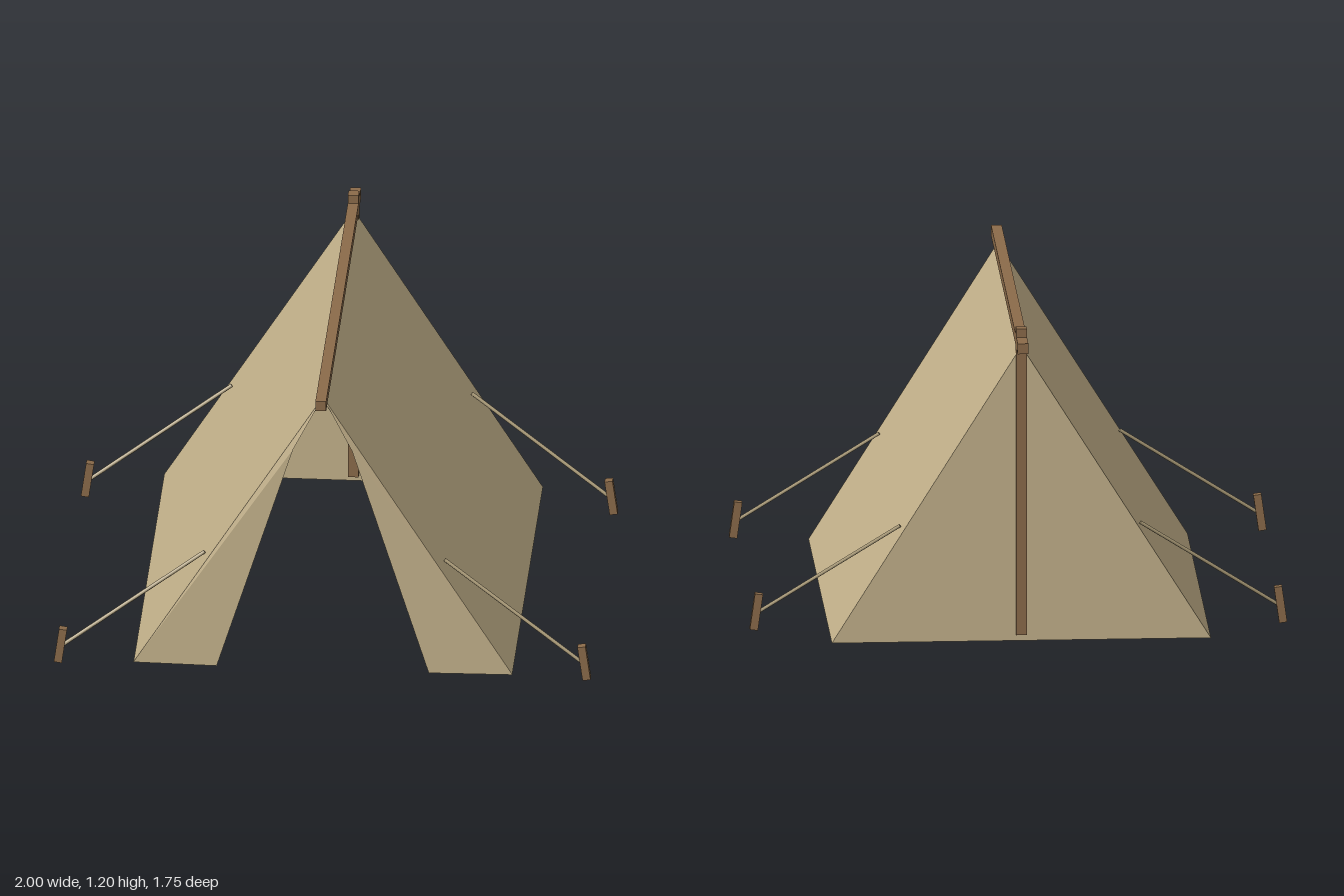
import * as THREE from 'three';

const material = (name, color, side = THREE.FrontSide) => {
  const m = new THREE.MeshStandardMaterial({ color, side });
  m.name = name;
  return m;
};

export function createModel() {
  const tent = new THREE.Group();
  tent.name = 'tent';
  const canvas = material('canvas', 0xc4b28b, THREE.DoubleSide);
  const wood = material('wood', 0x8b6b4a);
  const rope = material('rope', 0xae9e7a);

  const add = (name, geometry, mat) => {
    const mesh = new THREE.Mesh(geometry, mat);
    mesh.name = name;
    tent.add(mesh);
    return mesh;
  };
  const box = (name, size, pos) => {
    const mesh = add(name, new THREE.BoxGeometry(...size), wood);
    mesh.position.set(...pos);
    return mesh;
  };
  // Flat cloth: a fan of triangles around the first corner
  const cloth = (name, corners) => {
    const points = [];
    for (let i = 1; i < corners.length - 1; i++) points.push(corners[0], corners[i], corners[i + 1]);
    const g = new THREE.BufferGeometry();
    g.setAttribute('position', new THREE.Float32BufferAttribute(points.flat(), 3));
    g.computeVertexNormals();
    return add(name, g, canvas);
  };

  const apex = 1.135, foot = 0.005, half = 0.705, end = 0.767;

  // Wooden frame
  box('ridgePole', [0.04, 0.04, 1.75], [0, 1.152, 0]);
  box('backPole', [0.04, 1.175, 0.04], [0, 0.6175, -0.765]);

  // Closed back wall
  cloth('backWall', [[0, apex, -end], [half, foot, -end], [-half, foot, -end]]);

  for (const s of [1, -1]) {
    const side = s > 0 ? 'left' : 'right';

    // Sloping roof sheet with a little thickness
    const profile = new THREE.Shape([
      [0, apex], [s * half, foot], [s * (half - 0.009), foot], [0, apex - 0.014],
    ].map(([x, y]) => new THREE.Vector2(x, y)));
    const sheet = new THREE.ExtrudeGeometry(profile, { depth: 2 * end, bevelEnabled: false });
    add(side + 'Roof', sheet.translate(0, 0, -end), canvas);

    // Front flap, drawn aside to leave the doorway open
    cloth(side + 'Flap', [
      [s * half, foot, 0.77], [0, apex, 0.77], [s * 0.11, 0.92, 0.781], [s * 0.395, foot, 0.778],
    ]);

    // Guy ropes and their pegs
    for (const [place, ropeZ, pegZ] of [['Front', 0.68, 0.79], ['Back', -0.68, -0.565]]) {
      const peg = box(side + place + 'Peg', [0.03, 0.138, 0.03], [s * 0.975, 0.079, pegZ]);
      peg.rotation.z = s * 0.14;

      const a = new THREE.Vector3(s * 0.447, 0.43, ropeZ);
      const b = new THREE.Vector3(s * 0.97, 0.075, pegZ);
      const dir = b.clone().sub(a);
      const line = add(side + place + 'Rope', new THREE.CylinderGeometry(0.007, 0.007, dir.length(), 6), rope);
      line.position.copy(a).add(b).multiplyScalar(0.5);
      line.quaternion.setFromUnitVectors(new THREE.Vector3(0, 1, 0), dir.normalize());
    }
  }
  return tent;
}
